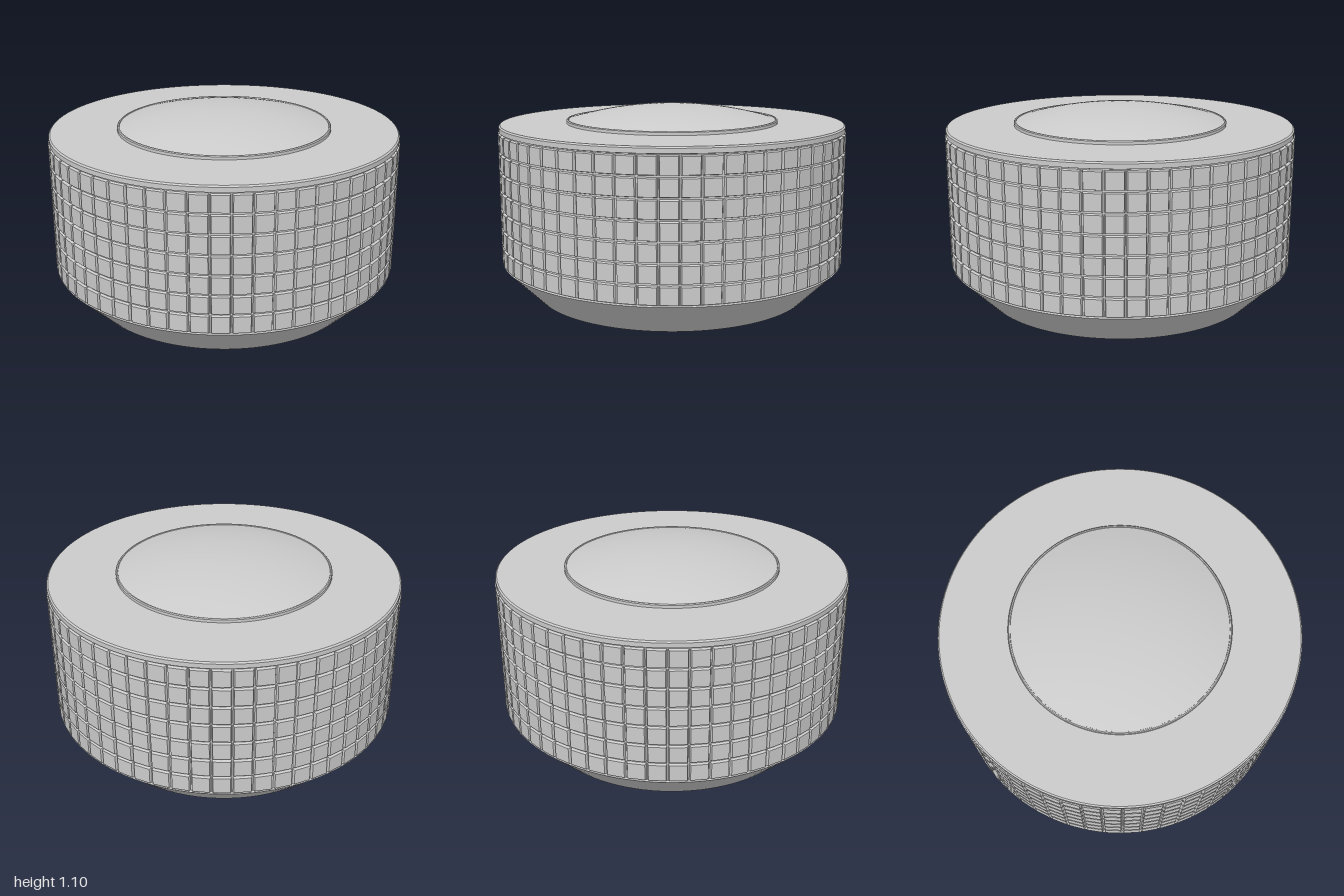
import * as THREE from 'three';
import { mergeGeometries, toCreasedNormals } from 'three/addons/utils/BufferGeometryUtils.js';

const material = new THREE.MeshStandardMaterial({ color: 0xcccccc });

// Revolved part with crisp edges; the profile runs counterclockwise in (radius, y)
function revolve(name, profile, segments = 116) {
  const points = profile.map(([r, y]) => new THREE.Vector2(r, y));
  const geometry = toCreasedNormals(new THREE.LatheGeometry(points, segments), 0.35);
  const mesh = new THREE.Mesh(geometry, material);
  mesh.name = name;
  return mesh;
}

// Grid of bevelled grip pads around the side
function gripPads() {
  const columns = 58, rows = 7, bottom = 0.2, top = 0.962;
  const rowPitch = (top - bottom) / rows;
  const pad = new THREE.CylinderGeometry(0.0455 * Math.SQRT2, 0.0525 * Math.SQRT2, 0.024, 4)
    .rotateY(Math.PI / 4)
    .rotateX(Math.PI / 2)
    .translate(0, 0, 0.988)
    .toNonIndexed();
  pad.computeVertexNormals();
  const pads = [];
  for (let row = 0; row < rows; row++) {
    for (let column = 0; column < columns; column++) {
      const angle = ((column + 0.5) / columns) * Math.PI * 2;
      pads.push(pad.clone().rotateY(angle).translate(0, bottom + (row + 0.5) * rowPitch, 0));
    }
  }
  const mesh = new THREE.Mesh(mergeGeometries(pads), material);
  mesh.name = 'gripPads';
  return mesh;
}

export function createModel() {
  const group = new THREE.Group();
  group.name = 'knob';

  // Hollow body: shaft bore, post, cavity, tapered skirt, grip core and top lip
  group.add(revolve('body', [
    [0, 0.36], [0.055, 0.36], [0.055, 0], [0.22, 0], [0.22, 0.36],
    [0.7, 0.36], [0.7, 0], [0.8, 0], [0.998, 0.198], [0.985, 0.202],
    [0.985, 0.963], [0.996, 0.966], [0.996, 0.992], [0.988, 1], [0, 1],
  ]));

  group.add(gripPads());

  // Raised ring around the dome
  group.add(revolve('domeRim', [
    [0.612, 0.995], [0.612, 1.016], [0.607, 1.021], [0.6, 1.021], [0.595, 1.005],
  ]));

  // Shallow spherical dome
  const rimRadius = 0.6, rimY = 1.016, rise = 0.084;
  const sphereRadius = (rimRadius ** 2 + rise ** 2) / (2 * rise);
  const arc = [];
  for (let i = 0; i <= 12; i++) {
    const r = rimRadius * (1 - i / 12);
    arc.push([r, rimY + rise - sphereRadius + Math.sqrt(sphereRadius ** 2 - r * r)]);
  }
  group.add(revolve('dome', arc));

  return group;
}
